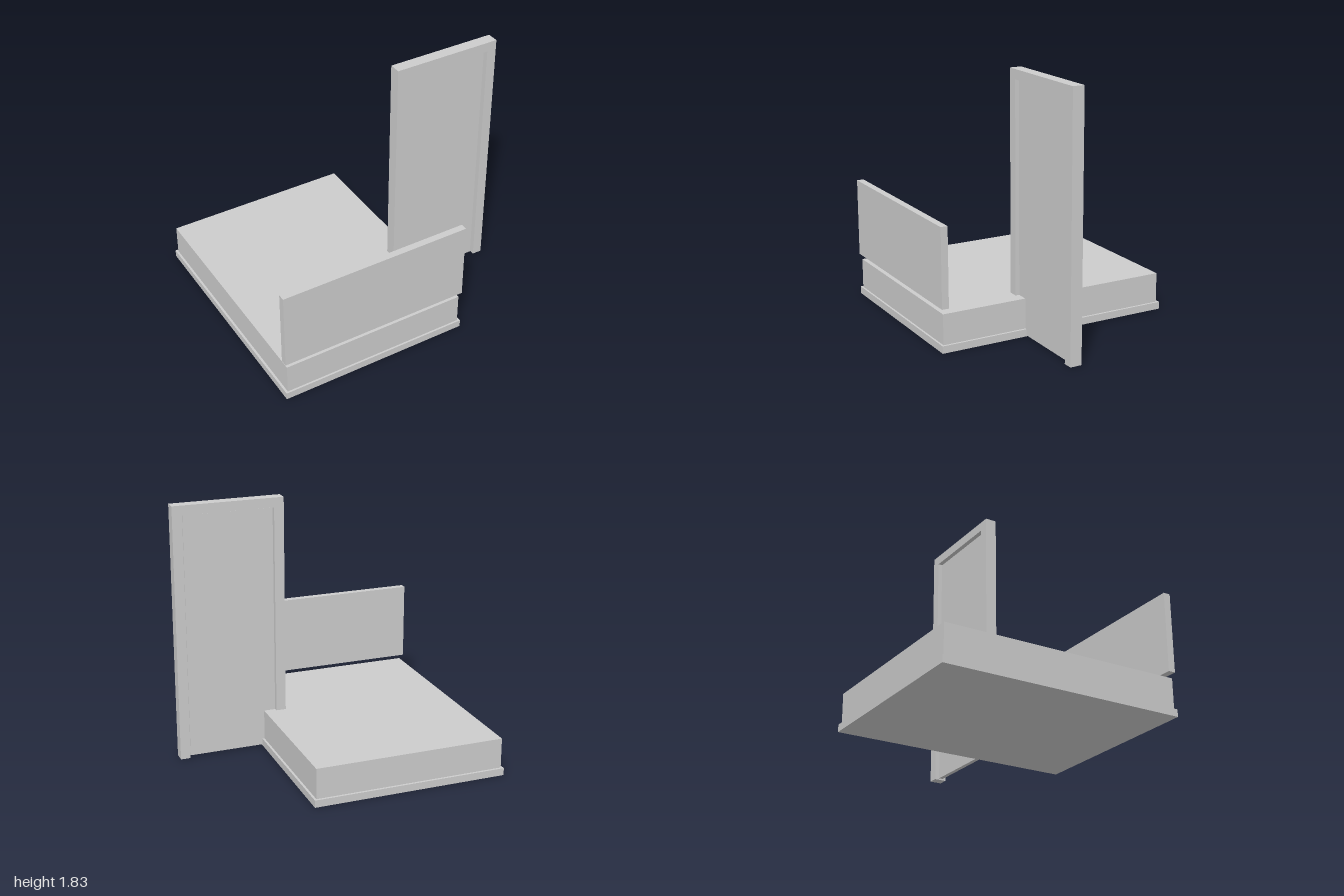
import * as THREE from 'three';

export function createModel() {
  const model = new THREE.Group();
  const grey = new THREE.MeshStandardMaterial({ name: 'light grey', color: 0xcccccc });

  // Box given by its limits on each axis
  function addBox(parent, name, [x0, x1], [y0, y1], [z0, z1]) {
    const mesh = new THREE.Mesh(new THREE.BoxGeometry(x1 - x0, y1 - y0, z1 - z0), grey);
    mesh.position.set((x0 + x1) / 2, (y0 + y1) / 2, (z0 + z1) / 2);
    mesh.name = name;
    parent.add(mesh);
  }

  // Bed: low plinth, mattress and a floating headboard
  const bed = new THREE.Group();
  bed.name = 'bed';
  addBox(bed, 'bedBase', [-1, 0.385], [0, 0.052], [-0.867, 0.867]);
  addBox(bed, 'mattress', [-0.984, 0.369], [0.052, 0.268], [-0.85, 0.853]);
  addBox(bed, 'headboard', [-1, 0.385], [0.307, 0.87], [0.817, 0.867]);
  model.add(bed);

  // Door frame: one outline running round the opening
  const door = new THREE.Group();
  door.name = 'door';
  const outline = [
    [0.214, 0], [0.284, 0], [0.284, 1.76], [0.93, 1.76],
    [0.93, 0], [1, 0], [1, 1.828], [0.214, 1.828],
  ].map(([x, y]) => new THREE.Vector2(x, y));
  const frame = new THREE.Mesh(
    new THREE.ExtrudeGeometry(new THREE.Shape(outline), { depth: 0.084, bevelEnabled: false }),
    grey
  );
  frame.position.z = 0.176;
  frame.name = 'doorFrame';
  door.add(frame);

  // Door leaf set in the middle of the frame with a small gap
  addBox(door, 'doorLeaf', [0.286, 0.921], [0.008, 1.753], [0.203, 0.233]);
  model.add(door);

  return model;
}
